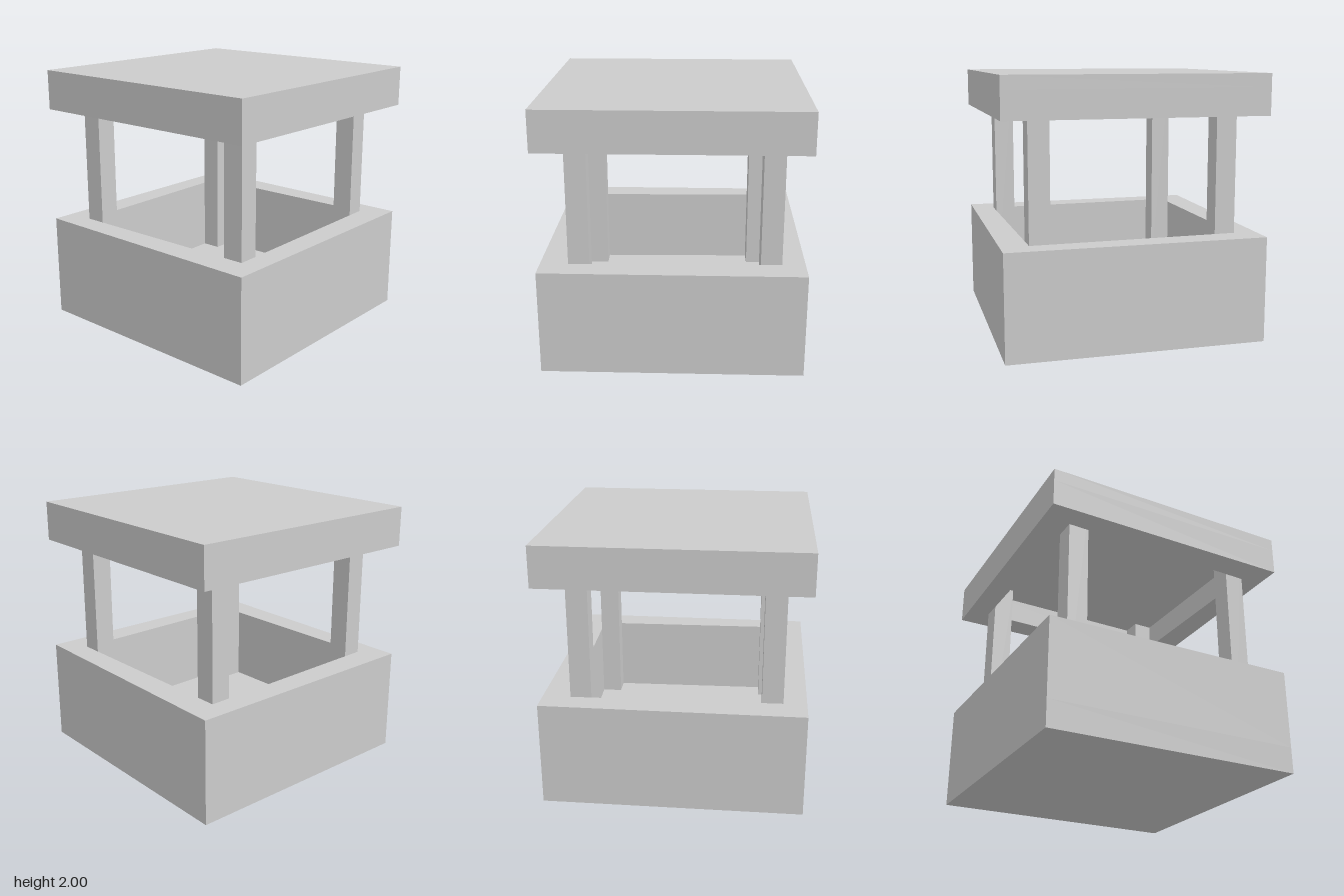
import * as THREE from 'three';

const OUTER = [[0.955, -1], [1, 0.955], [-0.955, 1], [-1, -0.955]]; // slightly turned square
const INNER = 0.787; // half width of the recess
const POST = 0.157;
const FLOOR = 0.2, BASE_TOP = 0.8, ROOF_BOTTOM = 1.695, CEILING = 1.9, TOP = 2;

const material = new THREE.MeshStandardMaterial({ color: 0xcccccc, flatShading: true });

const squareOutline = () => new THREE.Shape(OUTER.map(([x, y]) => new THREE.Vector2(x, y)));

// Horizontal layer between two heights, optionally pierced by the square recess
function layer(name, y0, y1, pierced) {
  const shape = squareOutline();
  if (pierced) {
    const h = INNER;
    shape.holes.push(new THREE.Path([[-h, -h], [-h, h], [h, h], [h, -h]].map(([x, y]) => new THREE.Vector2(x, y))));
  }
  const geometry = new THREE.ExtrudeGeometry(shape, { depth: y1 - y0, bevelEnabled: false });
  geometry.rotateX(-Math.PI / 2);
  const mesh = new THREE.Mesh(geometry, material);
  mesh.position.y = y0;
  mesh.name = name;
  return mesh;
}

export function createModel() {
  const model = new THREE.Group();
  model.name = 'shelter';

  // Open box base
  const base = new THREE.Group();
  base.name = 'base';
  base.add(layer('baseFloor', 0, FLOOR, false), layer('baseWalls', FLOOR, BASE_TOP, true));

  // Roof, hollow on its underside
  const roof = new THREE.Group();
  roof.name = 'roof';
  roof.add(layer('roofRim', ROOF_BOTTOM, CEILING, true), layer('roofSlab', CEILING, TOP, false));

  // Four posts in the corners of the recess, from floor to ceiling
  const posts = new THREE.Group();
  posts.name = 'posts';
  const postGeometry = new THREE.BoxGeometry(POST, CEILING - FLOOR, POST);
  const offset = INNER - POST / 2;
  for (const sx of [-1, 1]) {
    for (const sz of [-1, 1]) {
      const post = new THREE.Mesh(postGeometry, material);
      post.name = `${sz > 0 ? 'front' : 'back'}${sx > 0 ? 'Left' : 'Right'}Post`;
      post.position.set(sx * offset, (FLOOR + CEILING) / 2, sz * offset);
      posts.add(post);
    }
  }

  model.add(base, posts, roof);
  return model;
}
